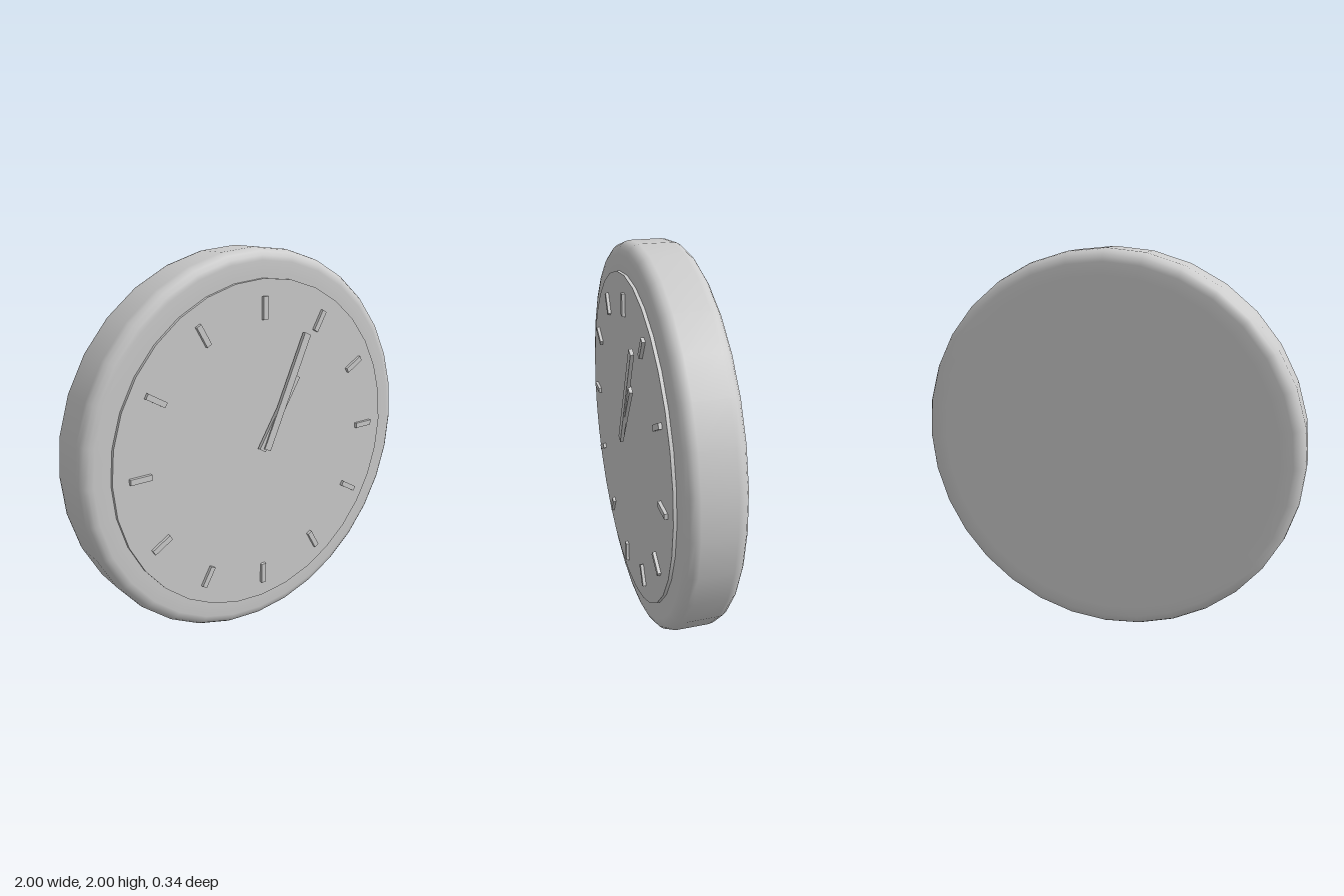
import * as THREE from 'three';

const CENTER_Y = 1;
const SIDES = 32;

export function createModel() {
  const clock = new THREE.Group();
  clock.name = 'wallClock';
  const grey = new THREE.MeshStandardMaterial({ color: 0xcccccc });
  grey.name = 'light grey';

  const add = (name, geometry, parent = clock) => {
    const mesh = new THREE.Mesh(geometry, grey);
    mesh.name = name;
    parent.add(mesh);
    return mesh;
  };

  // Round case with softly rounded front and back rims
  const back = -0.168, front = 0.113, r = 0.06;
  const profile = [new THREE.Vector2(0, back), new THREE.Vector2(0.88, back)];
  for (let i = 0; i <= 4; i++) {
    const a = (i / 4) * Math.PI / 2;
    profile.push(new THREE.Vector2(1 - r + r * Math.sin(a), back + r - r * Math.cos(a)));
  }
  for (let i = 0; i <= 4; i++) {
    const a = (i / 4) * Math.PI / 2;
    profile.push(new THREE.Vector2(1 - r + r * Math.cos(a), front - r + r * Math.sin(a)));
  }
  profile.push(new THREE.Vector2(0.88, front), new THREE.Vector2(0, front));
  const caseGeometry = new THREE.LatheGeometry(profile, SIDES).rotateX(Math.PI / 2);
  add('case', caseGeometry).position.y = CENTER_Y;

  // Thin dial plate
  const dial = new THREE.CylinderGeometry(0.857, 0.857, 0.025, SIDES).rotateX(Math.PI / 2);
  add('dial', dial).position.set(0, CENTER_Y, 0.1165);

  // Twelve hour markers
  const markers = new THREE.Group();
  markers.name = 'hourMarkers';
  clock.add(markers);
  for (let i = 0; i < 12; i++) {
    const a = (i * Math.PI) / 6;
    const marker = add('hourMarker', new THREE.BoxGeometry(0.028, 0.112, 0.02), markers);
    marker.position.set(Math.sin(a) * 0.717, CENTER_Y + Math.cos(a) * 0.717, 0.135);
    marker.rotation.z = -a;
  }

  // Hands, each a slim bar from its tail to its tip
  const addHand = (name, x0, y0, x1, y1, z, depth) => {
    const dx = x1 - x0, dy = y1 - y0;
    const hand = add(name, new THREE.BoxGeometry(0.042, Math.hypot(dx, dy), depth));
    hand.position.set((x0 + x1) / 2, (y0 + y1) / 2, z);
    hand.rotation.z = -Math.atan2(dx, dy);
  };
  addHand('hourHand', -0.027, 1.0, 0.195, 1.36, 0.152, 0.018);
  addHand('minuteHand', 0, 1.0, 0.255, 1.57, 0.159, 0.018);

  return clock;
}
